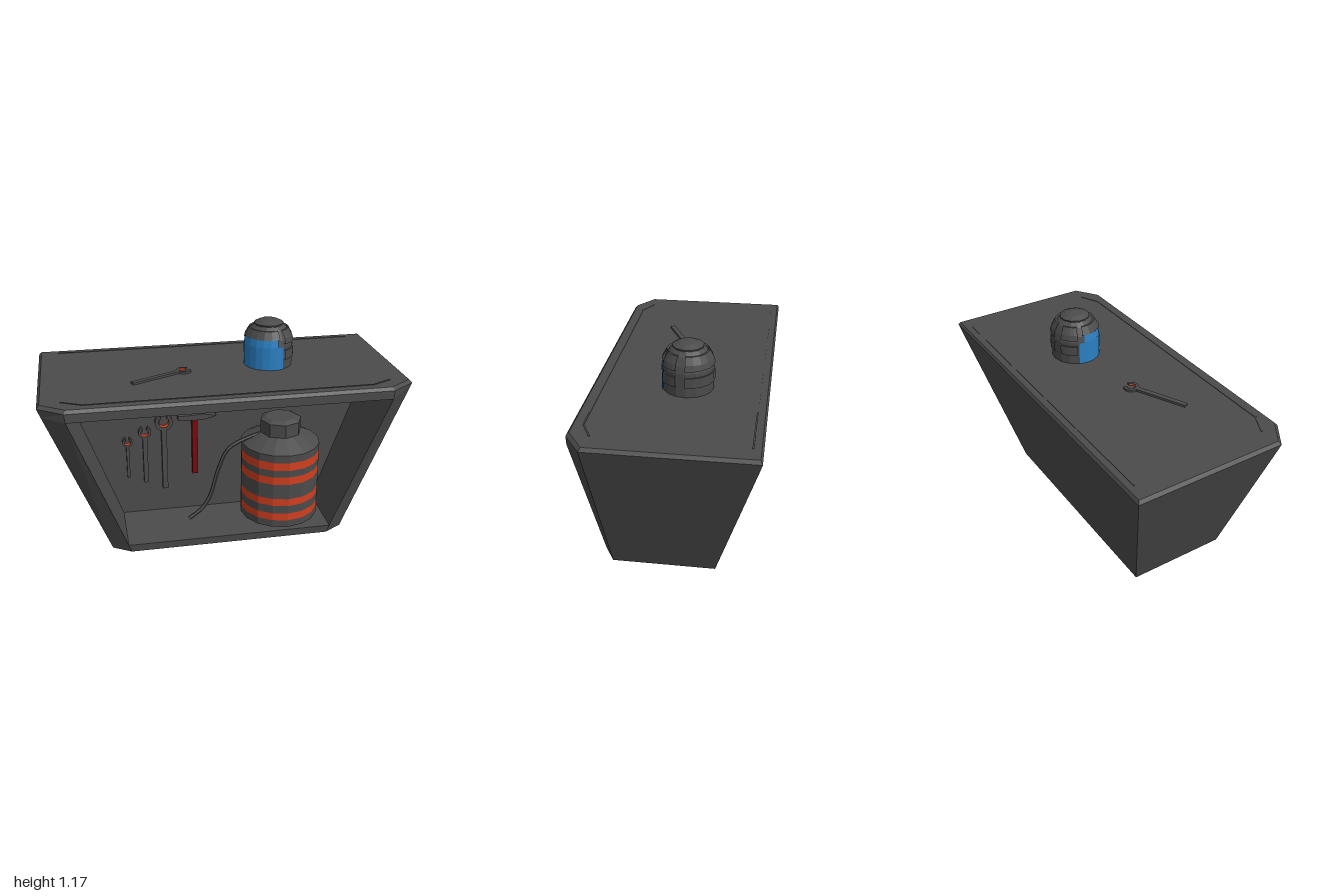
import * as THREE from 'three';

const D = Math.PI / 180;
const mat = (name, color, opts = {}) => {
  const m = new THREE.MeshStandardMaterial({ color, flatShading: true, ...opts });
  m.name = name;
  return m;
};

export function createModel() {
  const grey = mat('dark grey', 0x4b4b4b, { side: THREE.DoubleSide });
  const orange = mat('orange', 0xd23e1e, { side: THREE.DoubleSide });
  const red = mat('dark red', 0x7a0a0c);
  const blue = mat('visor blue', 0x2b80c4, { side: THREE.DoubleSide });

  const model = new THREE.Group();
  model.name = 'workbench';
  const add = (parent, name, geo, m, x = 0, y = 0, z = 0) => {
    const mesh = new THREE.Mesh(geo, m);
    mesh.name = name;
    mesh.position.set(x, y, z);
    parent.add(mesh);
    return mesh;
  };
  // flat faces from convex corner loops
  const faces = (loops) => {
    const pos = [];
    for (const f of loops)
      for (let i = 1; i < f.length - 1; i++) pos.push(...f[0], ...f[i], ...f[i + 1]);
    const g = new THREE.BufferGeometry();
    g.setAttribute('position', new THREE.Float32BufferAttribute(pos, 3));
    g.computeVertexNormals();
    return g;
  };

  // Bench shell: rings of six corners, counter-clockwise from the front left edge
  const ring = (y, xs, xf, zf, zc, zb) => [
    [-xf, y, zf], [xf, y, zf], [xs, y, zc], [xs, y, zb], [-xs, y, zb], [-xs, y, zc]];
  const rings = [
    ring(0, 0.66, 0.56, 0.385, 0.325, -0.235),
    ring(0.045, 0.677, 0.575, 0.39, 0.328, -0.247),
    ring(0.84, 0.982, 0.86, 0.47, 0.373, -0.458),
    ring(0.888, 1.0, 0.865, 0.47, 0.375, -0.47),
    ring(0.905, 0.985, 0.855, 0.455, 0.365, -0.46)];
  const shell = [[...rings[0]].reverse(), rings[4]];
  for (let r = 0; r < 4; r++)
    for (let i = 0; i < 6; i++) {
      if (r === 1 && i === 0) continue; // open front
      const j = (i + 1) % 6;
      shell.push([rings[r][i], rings[r][j], rings[r + 1][j], rings[r + 1][i]]);
    }
  add(model, 'benchShell', faces(shell), grey);

  // Open compartment behind the front edges
  const wallZ = 0.03;
  const front = [rings[1][0], rings[1][1], rings[2][1], rings[2][0]];
  const back = front.map(([x, y]) => [x, y, wallZ]);
  const inner = [back];
  for (let i = 0; i < 4; i++) {
    const j = (i + 1) % 4;
    inner.push([front[i], front[j], back[j], back[i]]);
  }
  add(model, 'compartment', faces(inner), grey);

  // Narrow trim strips on the worktop
  const strip = (x1, z1, x2, z2) => {
    const len = Math.hypot(x2 - x1, z2 - z1);
    const s = add(model, 'topTrim', new THREE.BoxGeometry(len, 0.006, 0.008), grey,
      (x1 + x2) / 2, 0.905, (z1 + z2) / 2);
    s.rotation.y = -Math.atan2(z2 - z1, x2 - x1);
  };
  strip(-0.89, -0.42, 0.89, -0.42);
  strip(-0.77, 0.405, 0.77, 0.405);
  strip(-0.88, 0.35, -0.77, 0.405);
  strip(0.77, 0.405, 0.88, 0.35);

  // Canister with stacked grey and orange bands
  const can = new THREE.Group();
  can.name = 'canister';
  can.position.set(0.305, 0, 0.245);
  model.add(can);
  const cyl = (name, rTop, rBottom, y0, y1, m, sides = 16) =>
    add(can, name, new THREE.CylinderGeometry(rTop, rBottom, y1 - y0, sides), m, 0, (y0 + y1) / 2, 0);
  const cuts = [0.11, 0.152, 0.195, 0.243, 0.286, 0.375, 0.42, 0.46, 0.507, 0.55];
  for (let i = 0; i < cuts.length - 1; i++)
    cyl(i % 2 ? 'canisterStripe' : 'canisterBody', 0.22, 0.22, cuts[i], cuts[i + 1], i % 2 ? orange : grey);
  cyl('canisterBase', 0.22, 0.125, 0.06, 0.11, grey);
  cyl('canisterShoulder', 0.115, 0.22, 0.55, 0.605, grey);
  cyl('canisterCap', 0.115, 0.115, 0.595, 0.68, grey, 8);
  cyl('canisterCapTop', 0.085, 0.115, 0.68, 0.695, grey, 8);

  // Hose
  const path = new THREE.CatmullRomCurve3([
    [0.22, 0.605, 0.245], [0.12, 0.575, 0.245], [0.01, 0.52, 0.25], [-0.05, 0.4, 0.26],
    [-0.1, 0.25, 0.28], [-0.15, 0.18, 0.295], [-0.225, 0.13, 0.305]].map((p) => new THREE.Vector3(...p)));
  add(model, 'hose', new THREE.TubeGeometry(path, 18, 0.011, 6), grey);

  // Open-ended wrench, handle end at the origin, jaw up
  const wrench = (length, r, w, depth) => {
    const g = new THREE.Group();
    g.name = 'wrench';
    const cy = length - r, ri = r * 0.62, gap = 30 * D, d = Math.asin(w / r);
    const s = new THREE.Shape();
    s.moveTo(-w, 0);
    s.lineTo(w, 0);
    s.absarc(0, cy, r, -Math.PI / 2 + d, Math.PI / 2 - gap, false);
    s.absarc(0, cy, ri, Math.PI / 2 - gap, Math.PI / 2 + gap, true);
    s.absarc(0, cy, r, Math.PI / 2 + gap, Math.PI * 1.5 - d, false);
    add(g, 'wrenchBody', new THREE.ExtrudeGeometry(s, { depth, bevelEnabled: false, curveSegments: 8 }), grey);
    // jaw lining
    const arc = Math.PI - gap;
    const lining = new THREE.CylinderGeometry(ri * 0.95, ri * 0.95, depth * 0.98, 14, 1, true, -arc, 2 * arc);
    add(g, 'jawLining', lining.rotateX(Math.PI / 2), orange, 0, cy, depth / 2);
    model.add(g);
    return g;
  };
  for (const [x, y, len, r, w] of [
    [-0.535, 0.29, 0.25, 0.028, 0.008], [-0.435, 0.25, 0.35, 0.036, 0.013], [-0.325, 0.2, 0.47, 0.05, 0.015]])
    wrench(len, r, w, 0.03).position.set(x, y, wallZ);
  const topWrench = wrench(0.375, 0.042, 0.014, 0.013);
  topWrench.rotation.set(-Math.PI / 2, -64 * D, 0, 'YXZ');
  topWrench.position.set(-0.5, 0.904, 0.165);

  // Hammer
  add(model, 'hammerHandle', new THREE.BoxGeometry(0.032, 0.335, 0.03), red, -0.15, 0.455, wallZ + 0.025);
  const head = new THREE.Shape([
    [-0.245, 0.63], [-0.19, 0.625], [-0.1, 0.625], [-0.06, 0.635], [-0.025, 0.643],
    [-0.06, 0.655], [-0.11, 0.66], [-0.19, 0.655], [-0.245, 0.655]].map((p) => new THREE.Vector2(...p)));
  add(model, 'hammerHead', new THREE.ExtrudeGeometry(head, { depth: 0.04, bevelEnabled: false }), grey, 0, 0, wallZ);

  // Helmet turned towards the front right corner
  const helmet = new THREE.Group();
  helmet.name = 'helmet';
  helmet.position.set(0.295, 0.905, -0.04);
  helmet.rotation.y = -43 * D;
  model.add(helmet);
  const lathe = (name, pts, from, to, m, seg) =>
    add(helmet, name, new THREE.LatheGeometry(pts.map((p) => new THREE.Vector2(...p)),
      seg, from * D, (to - from) * D), m);
  lathe('helmetDome', [[0.135, 0], [0.135, 0.13], [0.127, 0.165], [0.105, 0.21], [0.07, 0.242], [0, 0.256]],
    0, 360, grey, 16);
  lathe('visor', [[0.139, 0], [0.139, 0.13]], -67, 67, blue, 8);
  lathe('visorTop', [[0.139, 0.13], [0.132, 0.175]], -54, 54, blue, 6);
  // raised armour plates
  const low = [[0.132, 0.055], [0.142, 0.055], [0.142, 0.11], [0.132, 0.11]];
  const high = [[0.125, 0.145], [0.142, 0.147], [0.134, 0.178], [0.112, 0.217], [0.1, 0.215]];
  for (const [a, b] of [[71, 112], [133, 227], [248, 289]]) {
    lathe('sidePlate', low, a, b, grey, 5);
    lathe('domePlate', high, a, b, grey, 5);
  }
  lathe('browPlate', [[0.122, 0.173], [0.137, 0.173], [0.112, 0.217], [0.1, 0.215]], -58, 58, grey, 6);
  lathe('crownPlate', [[0.08, 0.23], [0.084, 0.242], [0.05, 0.258], [0, 0.265]], 0, 360, grey, 12);

  return model;
}
